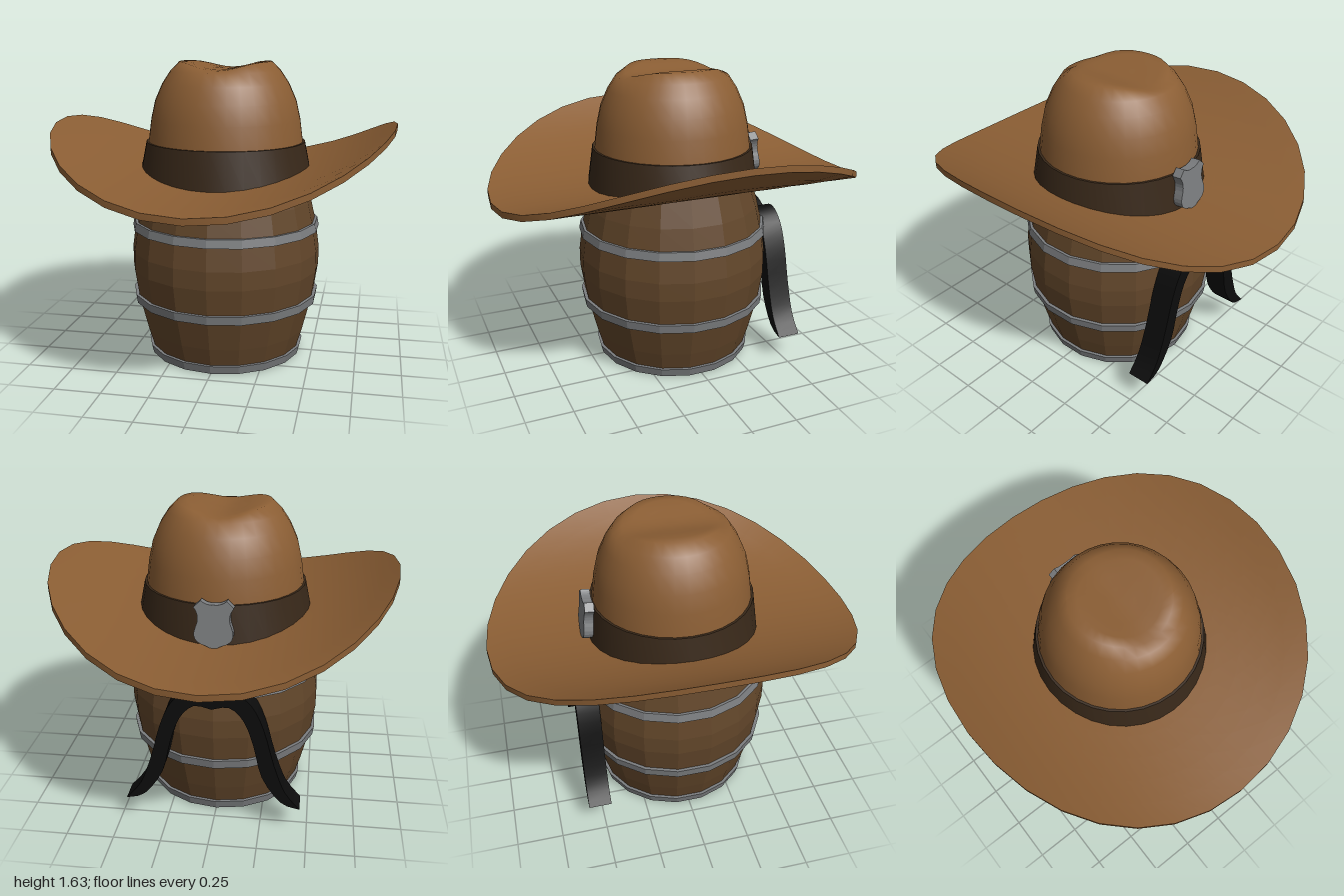
import * as THREE from 'three';
import { toCreasedNormals } from 'three/addons/utils/BufferGeometryUtils.js';

const V = (pairs) => pairs.map(([x, y]) => new THREE.Vector2(x, y));
const material = (color, flatShading = false) =>
  new THREE.MeshStandardMaterial({ color, flatShading, side: THREE.DoubleSide });

// Move every vertex of a geometry by a rule
function warp(geometry, rule) {
  const p = geometry.attributes.position;
  const v = new THREE.Vector3();
  for (let i = 0; i < p.count; i++) {
    v.fromBufferAttribute(p, i);
    rule(v);
    p.setXYZ(i, v.x, v.y, v.z);
  }
  geometry.computeVertexNormals();
  return geometry;
}

// Upward roll of the hat brim toward both sides
const ROLL = 1.45;
const rise = (x) => 0.96 * ROLL * (1 - Math.cos(x / ROLL));

export function createModel() {
  const model = new THREE.Group();
  const felt = material(0x8b5e34);
  const bandMat = material(0x382819);
  const wood = material(0x62462a, true);
  const lidMat = material(0x3a2617, true);
  const metal = material(0x7c7e80, true);
  const black = material(0x0c0c0c);

  const add = (name, geometry, mat, parent = model) => {
    const mesh = new THREE.Mesh(geometry, mat);
    mesh.name = name;
    parent.add(mesh);
    return mesh;
  };

  // Barrel: 18 bulging staves
  const barrel = new THREE.Group();
  barrel.name = 'barrel';
  model.add(barrel);
  const stave = V([[0.39, 0.02], [0.39, 0], [0.41, 0], [0.455, 0.15], [0.503, 0.34],
    [0.527, 0.5], [0.527, 0.6], [0.507, 0.74], [0.475, 0.88], [0.43, 1.02], [0, 1.02]]);
  add('staves', new THREE.LatheGeometry(stave, 18), wood, barrel);

  // Base boards, cut to the round of the barrel
  const boards = 6, lidR = 0.395;
  for (let i = 0; i < boards; i++) {
    const w = (2 * lidR) / boards;
    const a = -lidR + i * w + 0.002, b = a + w - 0.004;
    const half = (x) => Math.sqrt(Math.max(0, lidR * lidR - x * x));
    const outline = [];
    for (let k = 0; k <= 6; k++) {
      const x = a + ((b - a) * k) / 6;
      outline.push([x, half(x)]);
    }
    for (let k = 6; k >= 0; k--) {
      const x = a + ((b - a) * k) / 6;
      outline.push([x, -half(x)]);
    }
    const g = new THREE.ExtrudeGeometry(new THREE.Shape(V(outline)), { depth: 0.02, bevelEnabled: false });
    g.rotateX(-Math.PI / 2).translate(0, 0.01, 0);
    add('baseBoard', g, lidMat, barrel);
  }

  // Metal hoops: bottom y, top y, lower radius, upper radius
  for (const [y0, y1, r0, r1] of [[0.004, 0.05, 0.43, 0.442], [0.312, 0.36, 0.517, 0.524], [0.722, 0.768, 0.524, 0.515]]) {
    const ring = V([[r0 - 0.035, y0], [r0, y0], [r1, y1], [r1 - 0.035, y1], [r0 - 0.035, y0]]);
    add('hoop', new THREE.LatheGeometry(ring, 18), metal, barrel);
  }

  // Hat brim: flat ring rolled up at the sides
  const hat = new THREE.Group();
  hat.name = 'hat';
  model.add(hat);
  const radii = [0.4, 0.52, 0.64, 0.76, 0.88, 1];
  const thick = (r) => 0.045 - 0.012 * r;
  const section = [...radii.map((r) => [r, 0]), ...[...radii].reverse().map((r) => [r, thick(r)])];
  const brim = warp(new THREE.LatheGeometry(V(section), 32), (v) => {
    v.y += 0.96 + rise(v.x);
    v.x = ROLL * Math.sin(v.x / ROLL);
  });
  add('brim', toCreasedNormals(brim, 0.8), felt, hat);

  // Crown: lathe with a groove pressed front to back along the top
  const crownProfile = V([[0.445, 0.98], [0.424, 1.2], [0.408, 1.32], [0.385, 1.42], [0.345, 1.51],
    [0.3, 1.578], [0.25, 1.628], [0.2, 1.632], [0.13, 1.632], [0.065, 1.632], [0, 1.632]]);
  const crown = warp(new THREE.LatheGeometry(crownProfile, 32), (v) => {
    if (v.y < 1) v.y += rise(v.x);
    if (v.y > 1.6) {
      const t = Math.min(1, Math.abs(v.x) / 0.24);
      v.y -= 0.021 * (1 + Math.cos(Math.PI * t));
    }
  });
  add('crown', toCreasedNormals(crown, 0.9), felt, hat);

  // Hat band: straight top edge, lower edge following the brim
  const band = warp(new THREE.LatheGeometry(V([[0.466, 0.985], [0.436, 1.2], [0.415, 1.2]]), 32), (v) => {
    if (v.y < 1) v.y += rise(v.x);
  });
  add('hatBand', toCreasedNormals(band, 0.8), bandMat, hat);

  // Shield badge on the back of the band
  const shield = new THREE.Shape();
  shield.moveTo(0, 0.105);
  for (const s of [1, -1]) {
    if (s === 1) {
      shield.quadraticCurveTo(0.035, 0.1, 0.065, 0.125);
      shield.lineTo(0.1, 0.09);
      shield.quadraticCurveTo(0.065, 0.045, 0.09, -0.01);
      shield.quadraticCurveTo(0.12, -0.085, 0.04, -0.105);
      shield.lineTo(0, -0.125);
    } else {
      shield.lineTo(-0.04, -0.105);
      shield.quadraticCurveTo(-0.12, -0.085, -0.09, -0.01);
      shield.quadraticCurveTo(-0.065, 0.045, -0.1, 0.09);
      shield.lineTo(-0.065, 0.125);
      shield.quadraticCurveTo(-0.035, 0.1, 0, 0.105);
    }
  }
  const badge = add('badge', new THREE.ExtrudeGeometry(shield,
    { depth: 0.05, bevelEnabled: false, curveSegments: 6 }), metal, hat);
  badge.position.set(0, 1.115, -0.49);
  badge.rotation.x = 0.1;

  // Drooping moustache on the back of the barrel
  const upper = [[0, 0.765], [0.1, 0.8], [0.2, 0.735], [0.265, 0.6], [0.32, 0.4], [0.38, 0.24], [0.46, 0.14]];
  const lower = [[0.46, 0.14], [0.36, 0.175], [0.26, 0.32], [0.215, 0.5], [0.165, 0.64], [0.09, 0.715], [0, 0.7]];
  const smooth = (pts) => new THREE.SplineCurve(V(pts)).getPoints(18);
  const side = [...smooth(upper), ...smooth(lower).slice(1)];
  const mirrored = side.slice(1, -1).reverse().map((p) => new THREE.Vector2(-p.x, p.y));
  // Right half runs clockwise from the top notch; the left half returns from the bottom notch
  const top = side.slice(0, 19), bottom = side.slice(19);
  const outline = [...top, ...bottom, ...mirrored];
  const moustache = new THREE.ExtrudeGeometry(new THREE.Shape(outline), { depth: 0.125, bevelEnabled: false });
  moustache.translate(0, 0, -0.585);
  add('moustache', toCreasedNormals(moustache, 0.6), black);

  return model;
}
